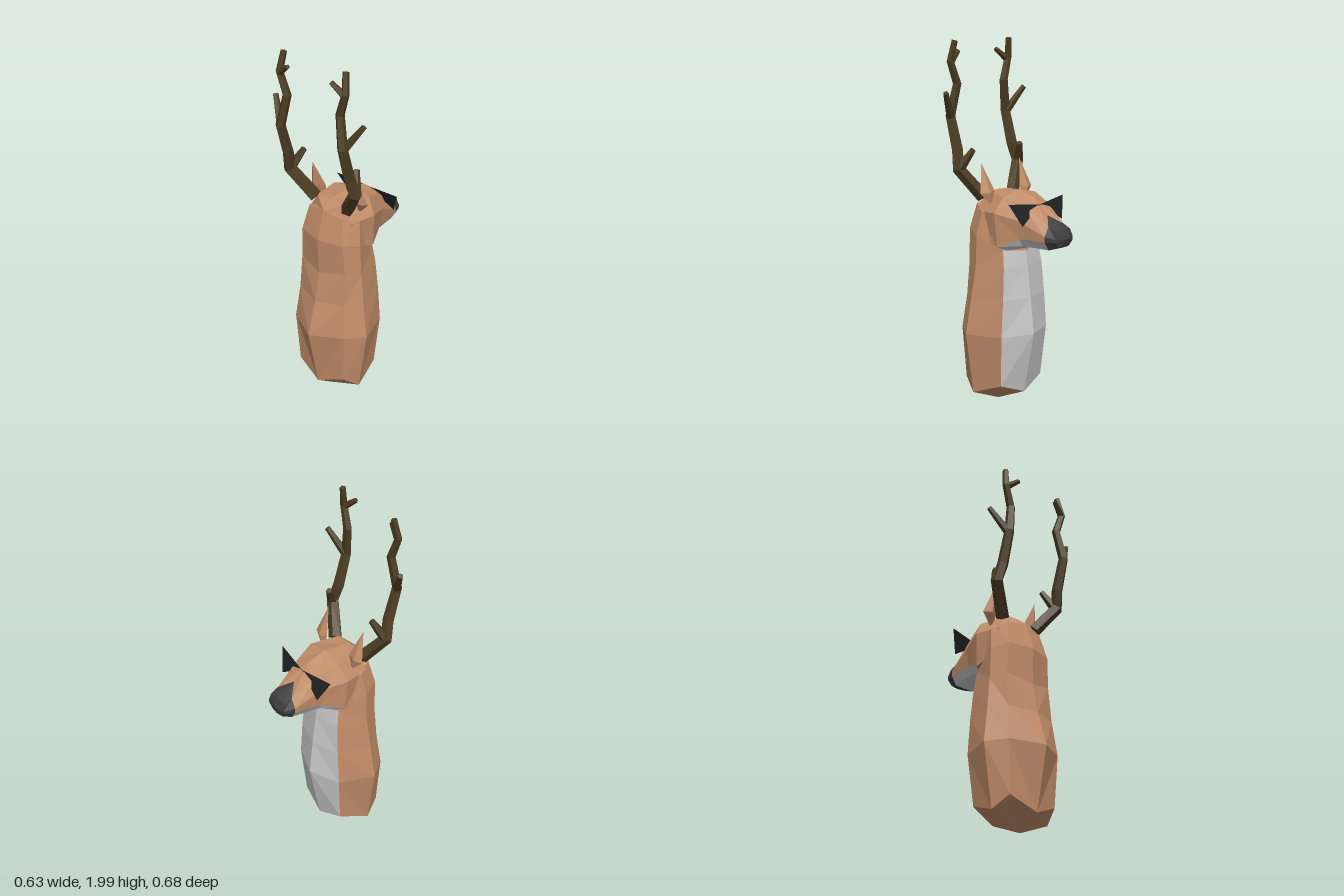
import * as THREE from 'three';

const mat = (name, color) => {
  const m = new THREE.MeshStandardMaterial({ color });
  m.name = name;
  return m;
};
const V = (x, y, z) => new THREE.Vector3(x, y, z);

// Flat-faced mesh from triangles sorted by material; closed solids are turned outward
function facetMesh(name, tris, materials) {
  let volume = 0;
  for (const t of tris) volume += t.p[0].dot(t.p[1].clone().cross(t.p[2]));
  const pos = [];
  const geo = new THREE.BufferGeometry();
  materials.forEach((m, k) => {
    const start = pos.length / 3;
    for (const t of tris) {
      if (t.m !== k) continue;
      const [a, b, c] = t.p;
      for (const v of volume < 0 ? [a, c, b] : [a, b, c]) pos.push(v.x, v.y, v.z);
    }
    geo.addGroup(start, pos.length / 3 - start, k);
  });
  geo.setAttribute('position', new THREE.Float32BufferAttribute(pos, 3));
  geo.computeVertexNormals();
  const mesh = new THREE.Mesh(geo, materials);
  mesh.name = name;
  return mesh;
}

// Skin closed rings, with a pointed cap at each end
function loft(name, rings, first, last, materials, pick = () => 0) {
  const tris = [];
  const n = rings[0].length;
  const top = rings.length - 1;
  for (let j = 0; j < n; j++) {
    const k = (j + 1) % n;
    tris.push({ p: [first, rings[0][k], rings[0][j]], m: pick(-1, j) });
    for (let i = 0; i < top; i++) {
      const a = rings[i][j], b = rings[i][k], c = rings[i + 1][k], d = rings[i + 1][j];
      // mirror the diagonal so both halves match
      if (j < n / 2) tris.push({ p: [a, b, c], m: pick(i, j) }, { p: [a, c, d], m: pick(i, j) });
      else tris.push({ p: [a, b, d], m: pick(i, j) }, { p: [b, c, d], m: pick(i, j) });
    }
    tris.push({ p: [last, rings[top][j], rings[top][k]], m: pick(top, j) });
  }
  return facetMesh(name, tris, materials);
}

// Half outline (first and last points on the centre plane) completed by mirroring
const mirrorRing = (half) => {
  const pts = half.map((p) => V(...p));
  const other = pts.slice(1, -1).reverse().map((p) => V(-p.x, p.y, p.z));
  return [...pts, ...other];
};

// Five-sided tapering branch along a bent path
function branch(name, path, r0, r1, material, side) {
  const pts = path.map(([x, y, z]) => V(x * side, y, z));
  const rings = pts.map((p, i) => {
    const dir = pts[Math.min(i + 1, pts.length - 1)].clone().sub(pts[Math.max(i - 1, 0)]).normalize();
    const u = V(0, 0, 1).addScaledVector(dir, -dir.z).normalize();
    const w = dir.clone().cross(u);
    const r = r0 + ((r1 - r0) * i) / (pts.length - 1);
    return Array.from({ length: 5 }, (_, j) => {
      const a = (j / 5) * Math.PI * 2;
      return p.clone().addScaledVector(u, r * Math.cos(a)).addScaledVector(w, side * r * Math.sin(a));
    });
  });
  return loft(name, rings, pts[0], pts[pts.length - 1], [material]);
}

export function createModel() {
  const fur = mat('tan fur', 0xc28d69);
  const pale = mat('pale fur', 0xcccccc);
  const noseMat = mat('nose charcoal', 0x404040);
  const horn = mat('antler brown', 0x4d3e23);
  const lens = mat('lens black', 0x202323);
  lens.side = THREE.DoubleSide;
  const model = new THREE.Group();
  model.name = 'mountedDeerHead';

  // Neck: rings run back, back corner, side, front corner, front
  const neck = [
    [[0, .09, .27], [.16, .155, .24], [.2, .09, .15], [.16, .15, -.02], [0, .09, -.045]],
    [[0, .43, .34], [.18, .44, .25], [.253, .43, .15], [.18, .43, -.045], [0, .43, -.115]],
    [[0, .62, .283], [.16, .63, .23], [.22, .63, .14], [.165, .63, -.043], [0, .63, -.092]],
    [[0, .79, .25], [.155, .82, .215], [.195, .8, .13], [.15, .8, -.035], [0, .8, -.07]],
    [[0, .99, .258], [.145, .99, .222], [.187, .97, .13], [.14, .9, -.02], [0, .885, -.058]],
    [[0, 1.15, .21], [.12, 1.13, .19], [.165, 1.1, .11], [.12, 1.1, 0], [0, 1.1, 0]],
  ].map(mirrorRing);
  model.add(loft('neck', neck, V(0, .01, .15), V(0, 1.15, .1), [fur, pale],
    (i, j) => (i >= 0 && i < 4 && (j === 3 || j === 4) ? 1 : 0)));

  // Head: rings run top, brow corner, cheek, jaw, under corner, underside
  const head = [
    [[0, 1.195, .155], [.09, 1.19, .155], [.15, 1.1, .155], [.16, .95, .155], [.1, .9, .155], [0, .9, .155]],
    [[0, 1.21, -.01], [.125, 1.185, -.01], [.177, 1.1, .01], [.165, .92, 0], [.12, .895, -.02], [0, .885, -.03]],
    [[0, 1.18, -.115], [.09, 1.15, -.12], [.125, 1.07, -.12], [.115, .97, -.115], [.09, .93, -.115], [0, .93, -.115]],
    [[0, 1.095, -.21], [.062, 1.05, -.27], [.092, 1.0, -.27], [.09, .97, -.27], [.06, .925, -.27], [0, .925, -.27]],
    [[0, 1.037, -.32], [.06, 1.03, -.315], [.07, .99, -.325], [.068, .97, -.325], [.045, .942, -.32], [0, .94, -.325]],
  ].map(mirrorRing);
  model.add(loft('head', head, V(0, 1.15, .21), V(0, .985, -.341), [fur, pale, noseMat], (i, j) => {
    if (i >= 3) return 2;
    return (i === 1 || i === 2) && j >= 3 && j <= 6 ? 1 : 0;
  }));

  for (const s of [1, -1]) {
    const tag = s > 0 ? 'left' : 'right';

    // Ear: leaf-shaped blade
    const earRing = [[.2, 1.2, .085], [.15, 1.2, .064], [.1, 1.21, .08], [.16, 1.2, .115]]
      .map(([x, y, z]) => V(x * s, y, z));
    model.add(loft(tag + 'Ear', [earRing], V(.12 * s, 1.12, .07), V(.15 * s, 1.355, .13), [fur]));

    // Antler: main beam and three tines
    const antler = new THREE.Group();
    antler.name = tag + 'Antler';
    antler.add(
      branch('beam', [[.115, 1.17, .15], [.23, 1.325, .22], [.212, 1.42, .245], [.213, 1.6, .295],
        [.18, 1.77, .275], [.222, 1.89, .282], [.207, 1.998, .262]], .038, .017, horn, s),
      branch('lowerTine', [[.23, 1.32, .215], [.182, 1.43, .155]], .03, .016, horn, s),
      branch('middleTine', [[.213, 1.59, .292], [.303, 1.73, .235]], .025, .015, horn, s),
      branch('upperTine', [[.22, 1.88, .282], [.145, 1.94, .3]], .02, .013, horn, s),
    );
    model.add(antler);

    // Dark triangular lens
    const tri = [V(0, 1.147, -.157), V(.215 * s, 1.17, -.13), V(.157 * s, 1.05, -.176)];
    model.add(facetMesh(tag + 'Lens', [{ p: tri, m: 0 }], [lens]));
  }
  return model;
}
